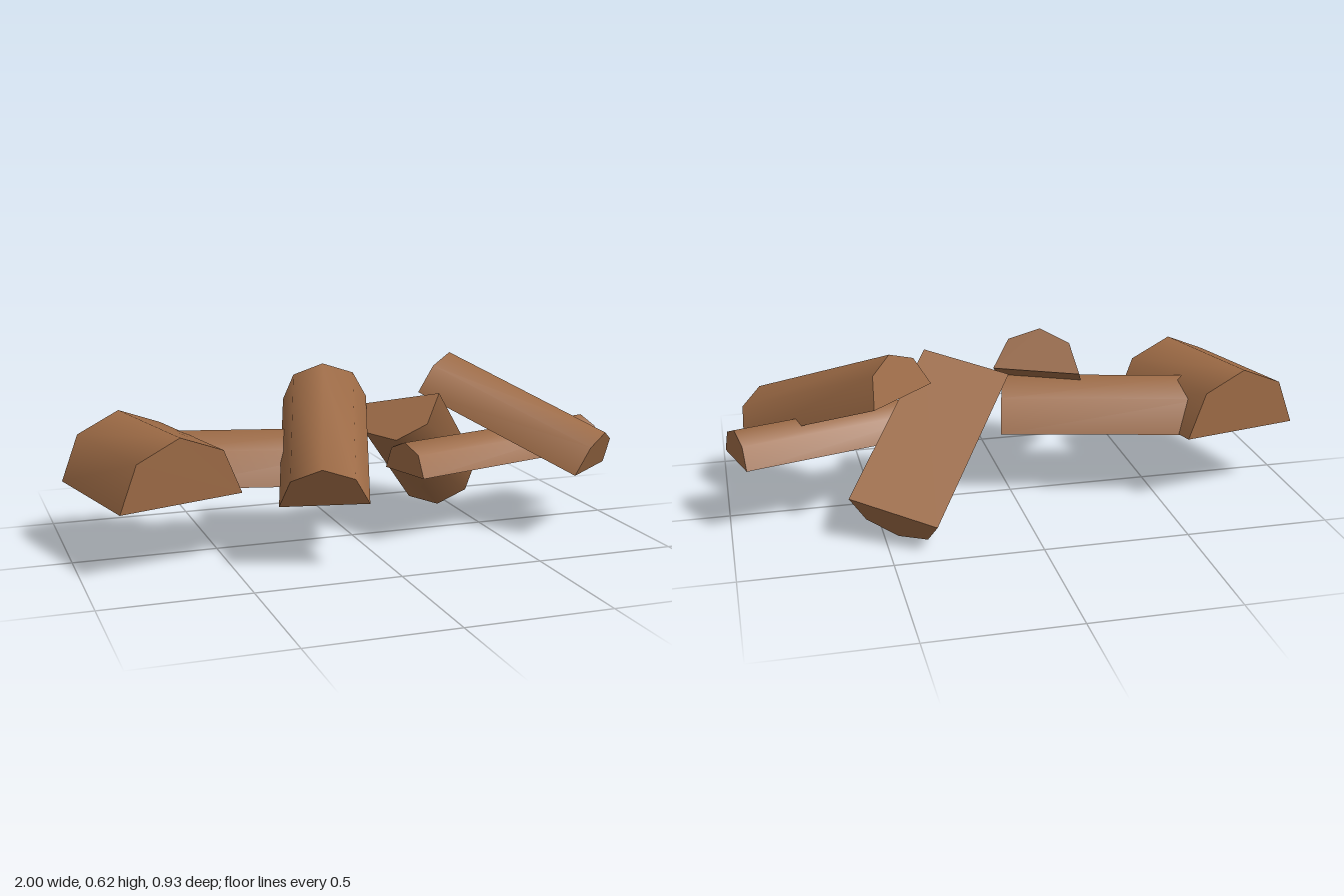
import * as THREE from 'three';
import { toCreasedNormals } from 'three/addons/utils/BufferGeometryUtils.js';

const V = (p) => new THREE.Vector3(...p);

// A split log: half an octagon extruded along its axis, flat side through the axis.
// start/end: centres of the flat side at both ends; side: half-width vector.
function splitLog(name, start, end, side, material) {
  const axis = V(end).sub(V(start));
  const length = axis.length();
  const r = V(side).length();

  const shape = new THREE.Shape();
  for (let i = 0; i <= 4; i++) {
    const a = (i * Math.PI) / 4;
    if (i === 0) shape.moveTo(r, 0);
    else shape.lineTo(r * Math.cos(a), r * Math.sin(a));
  }
  shape.closePath();

  // rounded bark is smooth, ends and flat side stay sharp
  const geometry = toCreasedNormals(
    new THREE.ExtrudeGeometry(shape, { depth: length, bevelEnabled: false }), 0.9);

  const z = axis.normalize();
  const y = z.clone().cross(V(side)).normalize();
  const x = y.clone().cross(z);
  const mesh = new THREE.Mesh(geometry, material);
  mesh.name = name;
  mesh.quaternion.setFromRotationMatrix(new THREE.Matrix4().makeBasis(x, y, z));
  mesh.position.copy(V(start));
  return mesh;
}

export function createModel() {
  const group = new THREE.Group();
  group.name = 'firewoodPile';
  const wood = new THREE.MeshStandardMaterial({ color: 0x9c6a45 });
  wood.name = 'brown wood';

  const logs = [
    // name, start, end, half-width vector
    ['wideLog', [-0.785, 0.255, -0.225], [-0.665, 0.244, 0.235], [0.215, 0.005, -0.055]],
    ['middleLog', [-0.68, 0.257, -0.085], [0.01, 0.255, 0.087], [0.04, 0, -0.16]],
    ['leaningLog', [-0.065, 0.495, -0.115], [-0.23, 0.24, 0.39], [0.14, 0.005, 0.05]],
    ['upturnedLog', [0.483, 0.135, -0.38], [0.153, 0.5, 0.025], [-0.132, -0.03, -0.085]],
    ['crossingLog', [0.415, 0.483, -0.232], [0.822, 0.243, 0.237], [0.109, -0.004, -0.098]],
    ['thinLog', [0.15, 0.256, 0.13], [0.967, 0.256, -0.105], [-0.03, 0, -0.105]],
  ];
  for (const [name, start, end, side] of logs) {
    group.add(splitLog(name, start, end, side, wood));
  }
  return group;
}
